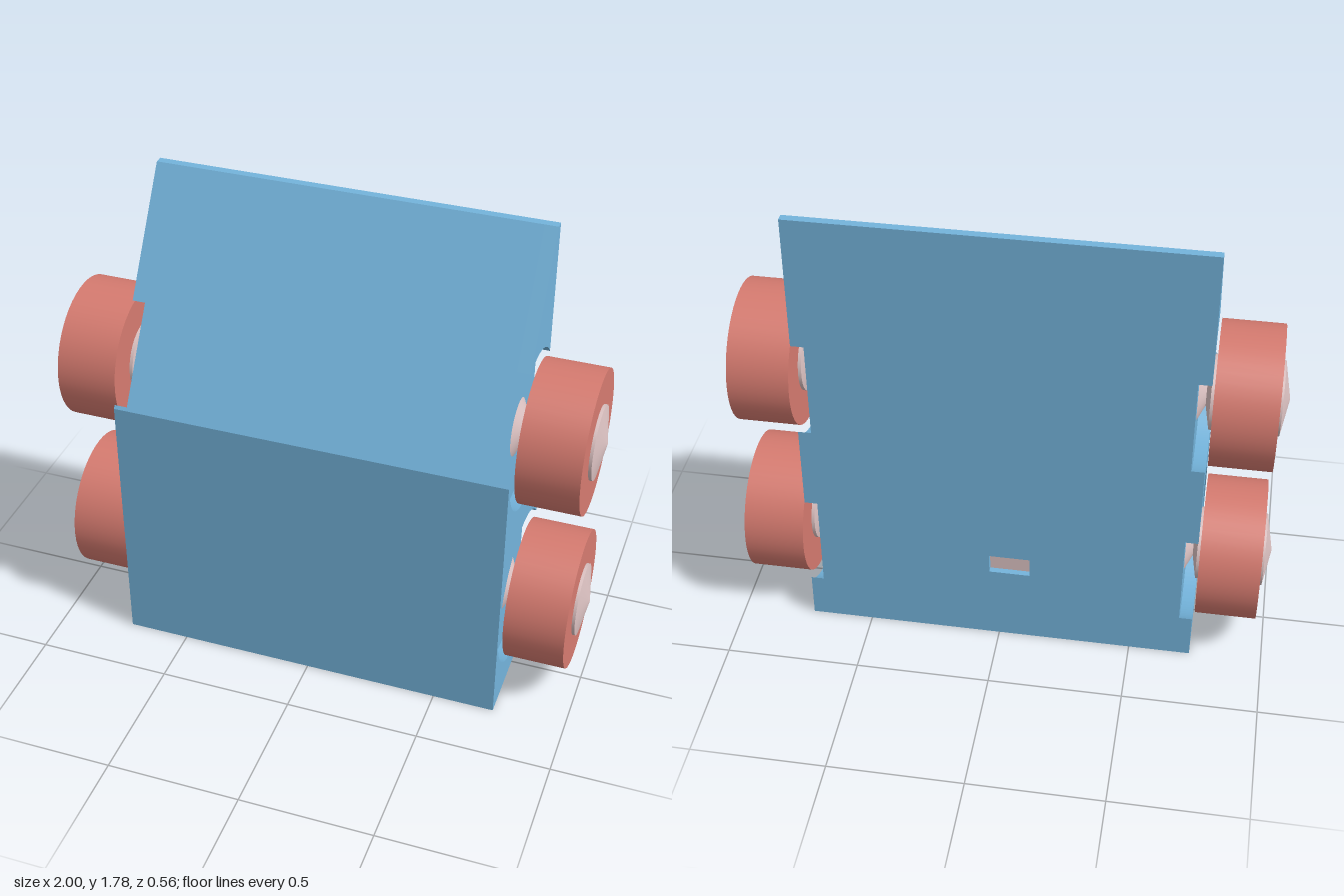
import * as THREE from 'three';

const INNER = 0.682, OUTER = 0.73;          // half widths of core and body
const FRONT = -0.28, BACK = 0.24, TIP = 0.21; // profile positions (u = -z)
const NOSE = 1.03, TOP = 1.78;
const WHEEL_U = 0.0175, WHEEL_Y = [0.368, 1.08], R_ARCH = 0.292;

export function createModel() {
  const model = new THREE.Group();
  const blue = new THREE.MeshStandardMaterial({ color: 0x74b4dc });
  const red = new THREE.MeshStandardMaterial({ color: 0xd67b70 });
  const pink = new THREE.MeshStandardMaterial({ color: 0xdcc2c2 });
  blue.name = 'body blue';
  red.name = 'wheel red';
  pink.name = 'hub pink';

  const add = (parent, name, geometry, material) => {
    const mesh = new THREE.Mesh(geometry, material);
    mesh.name = name;
    parent.add(mesh);
    return mesh;
  };
  // extrude a side profile (u, y) along x, from x0 to x1
  const sideways = (shape, x0, x1) =>
    new THREE.ExtrudeGeometry(shape, { depth: x1 - x0, bevelEnabled: false, curveSegments: 40 })
      .translate(0, 0, x0).rotateY(Math.PI / 2);
  const polygon = (pts) => new THREE.Shape(pts.map(([x, y]) => new THREE.Vector2(x, y)));

  // wedge-topped core
  add(model, 'bodyCore', sideways(polygon(
    [[FRONT, 0], [TIP, 0], [TIP, TOP], [FRONT, NOSE]]), -INNER, INNER), blue);

  // back plate with a small slot
  const plate = polygon([[-INNER, 0], [INNER, 0], [INNER, TOP], [-INNER, TOP]]);
  plate.holes.push(new THREE.Path([[-0.115, 0.31], [-0.115, 0.388], [0.037, 0.388], [0.037, 0.31]]
    .map(([x, y]) => new THREE.Vector2(x, y))));
  add(model, 'backPlate', new THREE.ExtrudeGeometry(plate,
    { depth: BACK - TIP, bevelEnabled: false }).translate(0, 0, -BACK), blue);
  add(model, 'slotFloor', new THREE.BoxGeometry(0.152, 0.078, 0.008)
    .translate(-0.039, 0.349, -TIP - 0.003), pink);

  // side panels, cut by the round wheel recesses
  const a = Math.acos((BACK - WHEEL_U) / R_ARCH);
  const du = TIP - FRONT, dy = TOP - NOSE, len = Math.hypot(du, dy);
  const dist = (dy * (WHEEL_U - FRONT) - du * (WHEEL_Y[1] - NOSE)) / len;
  const n = Math.atan2(du, -dy), b = Math.acos(dist / R_ARCH);
  const lower = new THREE.Shape();
  lower.moveTo(FRONT, 0);
  lower.lineTo(BACK, 0);
  lower.absarc(WHEEL_U, WHEEL_Y[0], R_ARCH, -a, a, true);
  lower.absarc(WHEEL_U, WHEEL_Y[1], R_ARCH, -a, n + b, true);
  lower.lineTo(FRONT, NOSE);
  const upper = new THREE.Shape();
  upper.moveTo(BACK, TOP);
  upper.lineTo(TIP, TOP);
  upper.absarc(WHEEL_U, WHEEL_Y[1], R_ARCH, n - b, a, true);
  for (const [side, x0, x1] of [['left', INNER, OUTER], ['right', -OUTER, -INNER]]) {
    add(model, side + 'LowerPanel', sideways(lower, x0, x1), blue);
    add(model, side + 'UpperPanel', sideways(upper, x0, x1), blue);
  }

  // wheels with pointed hubs and short axles
  const drum = (rOut, rIn, x0, x1) =>
    new THREE.CylinderGeometry(rOut, rIn, x1 - x0, 48)
      .rotateZ(-Math.PI / 2).translate((x0 + x1) / 2, 0, 0);
  for (const y of WHEEL_Y) {
    for (const turn of [0, Math.PI]) {
      const wheel = new THREE.Group();
      wheel.name = (turn ? 'right' : 'left') + (y > 1 ? 'Upper' : 'Lower') + 'Wheel';
      add(wheel, 'tyre', drum(0.262, 0.262, 0.738, 0.963), red);
      add(wheel, 'hub', drum(0.135, 0.135, 0.726, 0.974), pink);
      add(wheel, 'hubCap', drum(0, 0.135, 0.974, 1.0), pink);
      add(wheel, 'hubBack', drum(0.135, 0.03, 0.705, 0.726), pink);
      add(wheel, 'axleBase', drum(0.05, 0.11, 0.68, 0.71), pink);
      wheel.rotation.y = turn;
      wheel.position.set(0, y, -WHEEL_U);
      model.add(wheel);
    }
  }
  return model;
}
